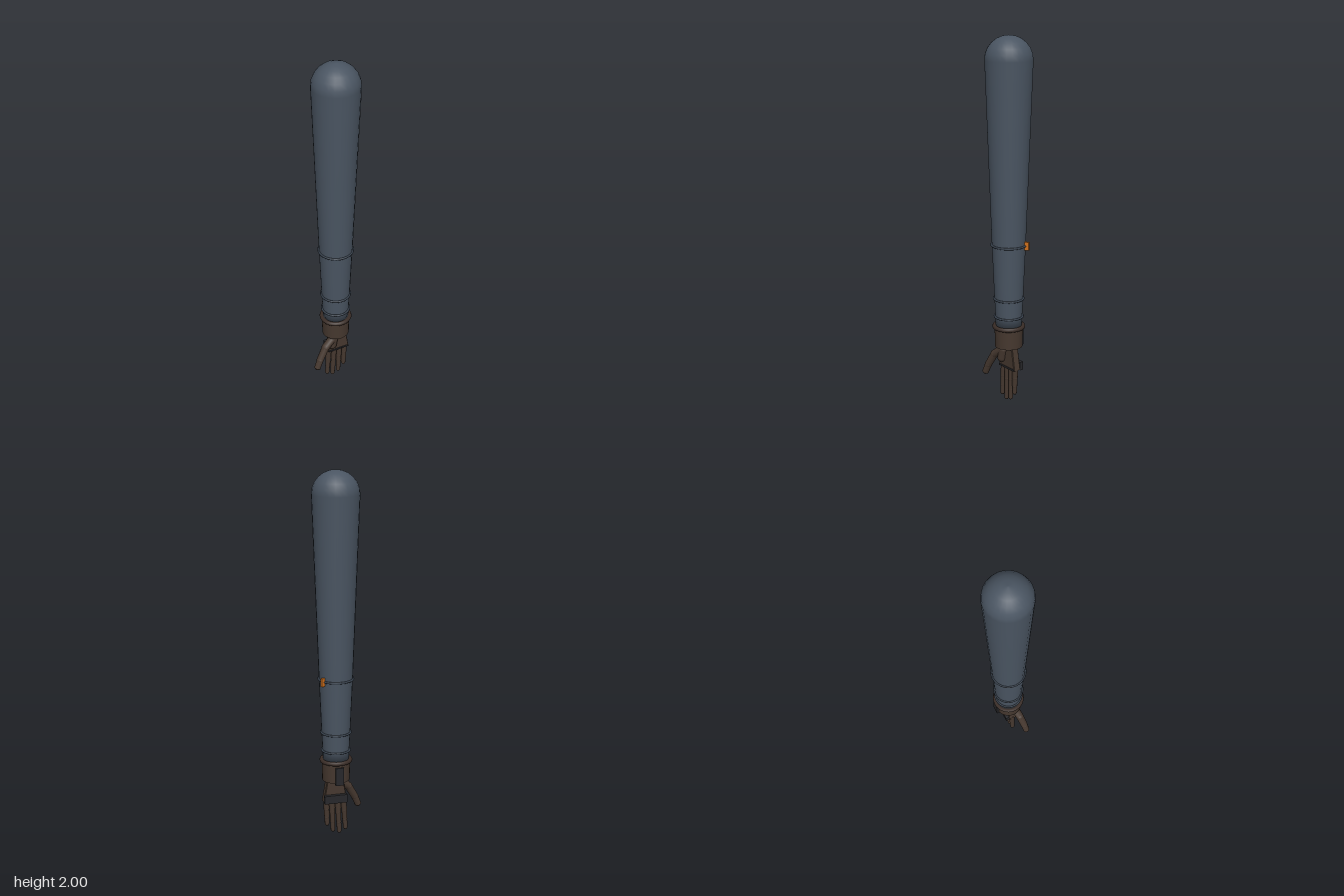
import * as THREE from 'three';

const CX = 0.016; // axis of the arm

export function createModel() {
  const model = new THREE.Group();
  model.name = 'gauntletArm';
  const mat = (name, color) => {
    const m = new THREE.MeshStandardMaterial({ color });
    m.name = name;
    return m;
  };
  const cloth = mat('slateCloth', 0x4a5562);
  const band = mat('darkSlate', 0x38424e);
  const leather = mat('brownLeather', 0x46382f);
  const trim = mat('darkLeather', 0x3a2d27);
  const plate = mat('blackPlate', 0x27272a);
  const orange = mat('orangeTag', 0xd0701c);

  const add = (name, geo, material, x = 0, y = 0, z = 0, parent = model) => {
    const m = new THREE.Mesh(geo, material);
    m.name = name;
    m.position.set(x, y, z);
    parent.add(m);
    return m;
  };

  // Sleeve: long taper with a domed shoulder
  const profile = [[0, 0.44], [0.071, 0.44], [0.073, 0.5], [0.078, 0.6], [0.091, 0.9], [0.126, 1.873]];
  for (let i = 1; i <= 6; i++) {
    const a = (i / 6) * Math.PI / 2;
    profile.push([0.127 * Math.cos(a), 1.873 + 0.127 * Math.sin(a)]);
  }
  profile[profile.length - 1][0] = 0;
  add('sleeve', new THREE.LatheGeometry(profile.map(p => new THREE.Vector2(...p)), 24), cloth, CX);

  // Sleeve bands and cuff rim
  const ring = (name, y, r, tube, material) => {
    const m = add(name, new THREE.TorusGeometry(r, tube, 8, 28), material, CX, y);
    m.rotation.x = Math.PI / 2;
  };
  ring('elbowBand', 0.897, 0.093, 0.006, band);
  ring('forearmBand', 0.597, 0.08, 0.006, band);
  ring('wristBand', 0.495, 0.076, 0.006, band);
  ring('cuffRim', 0.437, 0.078, 0.012, trim);

  // Orange tag on the elbow band
  const tag = add('elbowTag', new THREE.BoxGeometry(0.024, 0.045, 0.013), orange,
    CX + 0.086, 0.897, -0.054);
  tag.rotation.y = 0.56;

  // Glove cuff with a back plate
  add('cuff', new THREE.CylinderGeometry(0.078, 0.075, 0.118, 24), leather, CX, 0.382);
  add('cuffPlate', new THREE.BoxGeometry(0.045, 0.1, 0.018), plate, CX, 0.365, -0.077);

  // Palm: tapered slab, wider at the knuckles
  const palm = new THREE.Shape();
  palm.moveTo(-0.04, 0);
  palm.lineTo(0.04, 0);
  palm.lineTo(0.062, -0.13);
  palm.lineTo(-0.062, -0.13);
  const palmGeo = new THREE.ExtrudeGeometry(palm, {
    depth: 0.036, bevelEnabled: true, bevelThickness: 0.004, bevelSize: 0.004, bevelSegments: 1,
  });
  add('palm', palmGeo, leather, 0.024, 0.332, -0.018);

  // Knuckle guard across the back, with its raised edge
  add('knuckleGuard', new THREE.BoxGeometry(0.128, 0.046, 0.022), plate, 0.025, 0.217, -0.031);
  add('knuckleSeam', new THREE.BoxGeometry(0.126, 0.01, 0.05), plate, 0.024, 0.203, 0);

  // Jointed digit: tapered phalanges with rounded knuckles along a path
  const digit = (name, points, r0, r1) => {
    const g = new THREE.Group();
    g.name = name;
    model.add(g);
    const pts = points.map(p => new THREE.Vector3(...p));
    const n = pts.length - 1;
    const up = new THREE.Vector3(0, 1, 0);
    for (let i = 0; i < n; i++) {
      const ra = r0 + (r1 - r0) * i / n;
      const rb = r0 + (r1 - r0) * (i + 0.7) / n;
      const dir = pts[i].clone().sub(pts[i + 1]);
      const mid = pts[i].clone().add(pts[i + 1]).multiplyScalar(0.5);
      const bone = add('phalanx', new THREE.CylinderGeometry(ra, rb, dir.length(), 10),
        leather, mid.x, mid.y, mid.z, g);
      bone.quaternion.setFromUnitVectors(up, dir.normalize());
      if (i > 0) add('joint', new THREE.SphereGeometry(ra * 1.06, 10, 6), leather, pts[i].x, pts[i].y, pts[i].z, g);
    }
    // Short chamfered tip
    const d = pts[n].clone().sub(pts[n - 1]).normalize();
    const t = pts[n].clone().addScaledVector(d, 0.004);
    const tip = add('fingertip', new THREE.CylinderGeometry(r1, r1 * 0.65, 0.008, 10), leather, t.x, t.y, t.z, g);
    tip.quaternion.setFromUnitVectors(up, d.negate());
  };

  // Four fingers: root x, tip x, tip height
  const fingers = [
    ['indexFinger', -0.026, -0.038, 0.026],
    ['middleFinger', 0.007, -0.003, 0.008],
    ['ringFinger', 0.04, 0.033, 0.02],
    ['littleFinger', 0.072, 0.067, 0.06],
  ];
  for (const [name, x0, x1, tipY] of fingers) {
    const points = [0, 0.43, 0.74, 1].map(t => [x0 + (x1 - x0) * t, 0.215 + (tipY - 0.215) * t, 0]);
    digit(name, points, 0.0165, 0.012);
  }

  // Thumb, splayed outward and slightly forward, with a fleshy base
  digit('thumb', [[-0.01, 0.3, 0.022], [-0.065, 0.257, 0.035], [-0.105, 0.187, 0.046], [-0.126, 0.136, 0.051]], 0.024, 0.018);
  const base = add('thumbBase', new THREE.CapsuleGeometry(0.025, 0.05, 4, 10), leather, -0.012, 0.272, 0.022);
  base.rotation.z = -0.2;

  return model;
}
